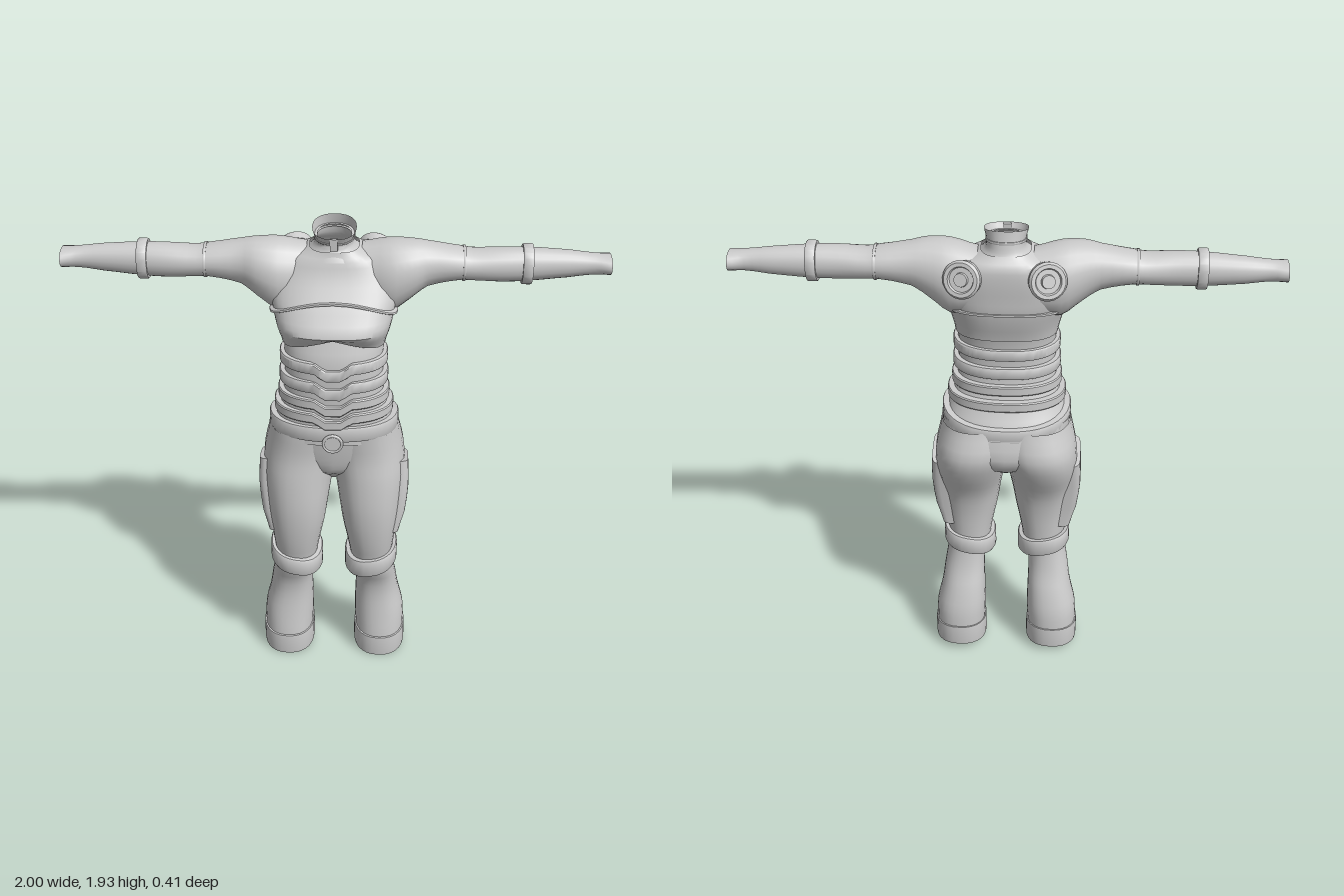
import * as THREE from 'three';
import { toCreasedNormals } from 'three/addons/utils/BufferGeometryUtils.js';

const material = new THREE.MeshStandardMaterial({ color: 0xcccccc, side: THREE.DoubleSide });

// Section: [position on axis, a0, a1, b0, b1]. Upright: a = x, b = z. Sideways (along x): a = z, b = y.
function sample(sections, pos) {
  let i = 0;
  while (i < sections.length - 2 && pos > sections[i + 1][0]) i++;
  const f = (pos - sections[i][0]) / (sections[i + 1][0] - sections[i][0]);
  return sections[i].map((v, k) => THREE.MathUtils.lerp(v, sections[i + 1][k], f));
}

function smooth(sections, sub) {
  const at = (i) => sections[THREE.MathUtils.clamp(i, 0, sections.length - 1)];
  const out = [];
  for (let i = 0; i < sections.length - 1; i++) {
    for (let s = 0; s < sub; s++) {
      const f = s / sub;
      out.push(at(i).map((v, k) => {
        const next = at(i + 1)[k];
        if (k === 0) return v + (next - v) * f;
        const m0 = (next - at(i - 1)[k]) / 2, m1 = (at(i + 2)[k] - v) / 2;
        return v * (1 + 2 * f) * (1 - f) ** 2 + m0 * f * (1 - f) ** 2
          + next * f * f * (3 - 2 * f) + m1 * f * f * (f - 1);
      }));
    }
  }
  out.push(at(sections.length - 1));
  return out;
}

// Skin over rounded-rectangle rings
function loft(name, sections, { sub = 1, n = 28, power = 2.3, sideways = false, warp, cap = false, crease = 0.6 } = {}) {
  const rings = smooth(sections, sub);
  if (cap) {
    const flat = ([p, a0, a1, b0, b1]) => [p, (a0 + a1) / 2, (a0 + a1) / 2, (b0 + b1) / 2, (b0 + b1) / 2];
    rings.unshift(flat(rings[0]));
    rings.push(flat(rings[rings.length - 1]));
  }
  const positions = [], index = [];
  const round = (v) => Math.sign(v) * Math.abs(v) ** (2 / power);
  rings.forEach(([p, a0, a1, b0, b1], r) => {
    for (let i = 0; i < n; i++) {
      const t = (i / n) * Math.PI * 2;
      const a = (a0 + a1) / 2 + round(Math.cos(t)) * (a1 - a0) / 2;
      const b = (b0 + b1) / 2 + round(Math.sin(t)) * (b1 - b0) / 2;
      const v = sideways ? new THREE.Vector3(p, b, a) : new THREE.Vector3(a, p, b);
      if (warp) warp(v);
      positions.push(v.x, v.y, v.z);
      if (r < rings.length - 1) {
        const c = r * n + i, d = r * n + (i + 1) % n;
        index.push(c, c + n, d, d, c + n, d + n);
      }
    }
  });
  const g = new THREE.BufferGeometry();
  g.setAttribute('position', new THREE.Float32BufferAttribute(positions, 3));
  g.setIndex(index);
  const mesh = new THREE.Mesh(toCreasedNormals(g, crease), material);
  mesh.name = name;
  return mesh;
}

// Raised band around a lofted body
function band(name, body, from, to, out, options) {
  const bevel = (to - from) * 0.12;
  const profile = [[from, -0.01], [from, out * 0.8], [from + bevel, out], [to - bevel, out], [to, out * 0.8], [to, -0.01]];
  const [, a0, a1, b0, b1] = sample(body, (from + to) / 2);
  return loft(name, profile.map(([p, o]) => [p, a0 - o, a1 + o, b0 - o, b1 + o]), options);
}

function part(name, geometry, x, y, z) {
  const mesh = new THREE.Mesh(geometry, material);
  mesh.name = name;
  mesh.position.set(x, y, z);
  return mesh;
}

const waist = [
  [1.10, -0.25, 0.25, -0.175, 0.165], [1.20, -0.217, 0.217, -0.125, 0.165],
  [1.30, -0.19, 0.19, -0.092, 0.168], [1.45, -0.185, 0.185, -0.095, 0.17],
  [1.56, -0.19, 0.19, -0.115, 0.14],
];
const chest = [
  [1.50, -0.193, 0.193, -0.11, 0.165], [1.57, -0.21, 0.21, -0.13, 0.205],
  [1.63, -0.225, 0.225, -0.143, 0.172], [1.68, -0.235, 0.235, -0.147, 0.138],
  [1.75, -0.22, 0.22, -0.152, 0.095], [1.81, -0.17, 0.17, -0.148, 0.072],
  [1.845, -0.09, 0.09, -0.12, 0.06],
];
const pelvis = [
  [0.89, -0.03, 0.03, -0.08, 0.06], [0.95, -0.12, 0.12, -0.16, 0.125],
  [1.02, -0.22, 0.22, -0.19, 0.145], [1.14, -0.25, 0.25, -0.165, 0.16],
];
const arm = [
  [0.10, -0.14, 0.06, 1.60, 1.845], [0.20, -0.143, 0.09, 1.585, 1.865],
  [0.28, -0.122, 0.08, 1.645, 1.865], [0.34, -0.11, 0.055, 1.69, 1.855],
  [0.45, -0.105, 0.045, 1.715, 1.837], [0.50, -0.10, 0.04, 1.715, 1.83],
  [0.60, -0.092, 0.035, 1.71, 1.835], [0.70, -0.09, 0.025, 1.712, 1.835],
  [0.85, -0.085, 0.01, 1.725, 1.825], [0.94, -0.08, 0.005, 1.737, 1.815],
  [1.0, -0.095, 0.018, 1.74, 1.81],
];
const thigh = [
  [0.50, 0.07, 0.235, -0.075, 0.125], [0.60, 0.055, 0.245, -0.08, 0.147],
  [0.70, 0.035, 0.258, -0.09, 0.162], [0.80, 0.02, 0.268, -0.115, 0.167],
  [0.92, 0, 0.28, -0.175, 0.16], [1.02, -0.02, 0.273, -0.203, 0.15],
  [1.13, -0.03, 0.25, -0.17, 0.155],
];
const calf = [
  [0.0, 0.092, 0.295, -0.145, 0.095], [0.10, 0.092, 0.295, -0.143, 0.09],
  [0.20, 0.088, 0.292, -0.137, 0.078], [0.30, 0.09, 0.27, -0.112, 0.07],
  [0.38, 0.092, 0.258, -0.085, 0.08], [0.46, 0.09, 0.245, -0.07, 0.112],
  [0.53, 0.09, 0.235, -0.065, 0.11],
];

// Arm, leg and back disc of the left side
function side(name) {
  const group = new THREE.Group();
  group.name = name;
  const lay = { sideways: true, power: 2.1, n: 20 };
  group.add(loft('sleeve', arm, { ...lay, sub: 3 }));
  group.add(band('forearmBand', arm, 0.68, 0.717, 0.013, lay));
  group.add(band('elbowSeam', arm, 0.465, 0.475, 0.003, lay));

  group.add(loft('trouserLeg', thigh, { sub: 3 }));
  const tilt = (v) => { v.y += (v.x - 0.16) * 0.18 - v.z * 0.1; };
  group.add(band('kneeCuff', thigh, 0.48, 0.555, 0.022, { warp: tilt }));
  const slope = (v) => { if (v.y < 0.12) v.y += (0.1 - v.z) * 0.15 * (1 - v.y / 0.12); };
  group.add(loft('lowerLeg', calf, { sub: 3, warp: slope }));
  group.add(band('bootBand', calf, 0.002, 0.095, 0.006, {
    warp: (v) => { v.y += (0.1 - v.z) * 0.13; if (v.y < 0) v.y = 0; },
  }));

  // Thigh pocket following the outer leg
  const pocket = [[0.63, 0.15, 0.262, -0.06, 0.105], [0.72, 0.15, 0.285, -0.065, 0.1],
    [0.85, 0.15, 0.297, -0.08, 0.09], [0.96, 0.15, 0.293, -0.095, 0.075]];
  group.add(loft('thighPocket', pocket, {
    sub: 2, power: 5, cap: true, warp: (v) => { v.y += v.z * 0.25; },
  }));

  // Round back vent with a stepped face
  const outline = [[0, -0.02], [0.066, -0.02], [0.07, 0.012], [0.062, 0.022], [0.048, 0.022], [0.044, 0.012],
    [0.026, 0.012], [0.024, 0.024], [0, 0.024]].map(([x, y]) => new THREE.Vector2(x, y));
  const disc = part('backDisc', toCreasedNormals(new THREE.LatheGeometry(outline, 24), 0.5), 0.15, 1.77, -0.15);
  disc.quaternion.setFromUnitVectors(new THREE.Vector3(0, 1, 0), new THREE.Vector3(0.25, 0.3, -1).normalize());
  group.add(disc);
  return group;
}

export function createModel() {
  const model = new THREE.Group();
  model.name = 'bodySuit';

  // Trunk
  model.add(loft('pelvis', pelvis, { sub: 3, cap: true }));
  model.add(loft('waist', waist, { sub: 3, n: 40 }));
  model.add(loft('chest', chest, {
    sub: 3, n: 40, power: 2.7,
    warp: (v) => {
      if (v.z > 0 && v.y < 1.57) v.y += 0.045 * Math.max(0, 1 - Math.abs(v.x) / 0.17) * (1.57 - v.y) / 0.07;
    },
  }));
  model.add(band('chestSeam', chest, 1.666, 1.674, 0.003, {
    n: 40, power: 2.7,
    warp: (v) => {
      const drop = 0.055 * Math.min(1, Math.abs(v.x) / 0.23) ** 2;
      if (v.z > 0) { v.y += 0.012 - drop; v.z += drop * 0.6; } else v.y -= 0.045;
    },
  }));

  // Stacked waist bands, dipping at the front centre
  const dip = (v) => { if (v.z > 0) v.y -= 0.028 * THREE.MathUtils.clamp((0.07 - Math.abs(v.x)) / 0.04, 0, 1); };
  [[1.415, 1.458], [1.335, 1.38], [1.265, 1.305], [1.205, 1.245]].forEach(([a, b], i) => {
    model.add(band('waistBand' + (i + 1), waist, a, b, 0.017, { n: 64, warp: dip }));
  });

  // Belt and buckle
  model.add(band('belt', waist, 1.125, 1.185, 0.017, {
    n: 40, warp: (v) => { if (v.z < 0) { v.y += v.z * 0.25; v.z *= 1.06; } },
  }));
  const plate = part('buckle', new THREE.CylinderGeometry(0.034, 0.034, 0.03, 20), 0, 1.125, 0.178);
  plate.rotation.x = Math.PI / 2;
  model.add(plate, part('buckleRim', new THREE.TorusGeometry(0.035, 0.006, 8, 24), 0, 1.125, 0.19));

  // Open collar, higher at the back, with a front clasp
  const neck = [[1.81, -0.12, 0.12, -0.14, 0.075], [1.845, -0.08, 0.08, -0.118, 0.055],
    [1.87, -0.07, 0.07, -0.108, 0.05], [1.91, -0.08, 0.08, -0.098, 0.065]];
  const rise = (v) => { if (v.y > 1.85) v.y -= v.z * 0.21 * (v.y - 1.85) / 0.06; };
  model.add(loft('collar', neck, { sub: 3, warp: rise }));
  model.add(band('collarSeam', neck, 1.874, 1.881, 0.003, { warp: rise }));
  model.add(part('collarClasp', new THREE.BoxGeometry(0.028, 0.045, 0.014), 0, 1.872, 0.056));

  const left = side('leftSide'), right = side('rightSide');
  right.scale.x = -1;
  model.add(left, right);
  return model;
}
